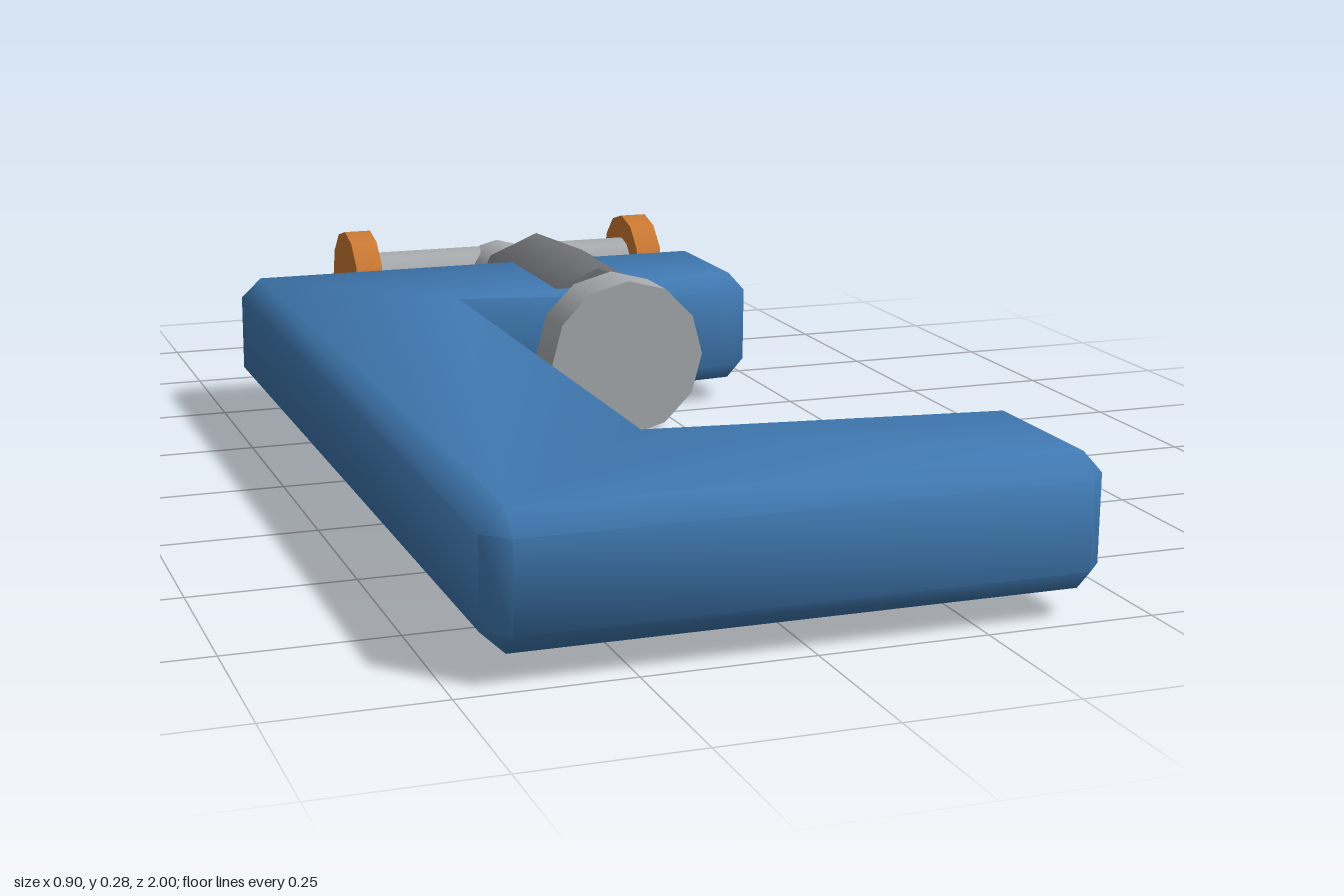
import * as THREE from 'three';
import { toCreasedNormals } from 'three/addons/utils/BufferGeometryUtils.js';

const mat = (name, color) => {
  const m = new THREE.MeshStandardMaterial({ color });
  m.name = name;
  return m;
};

const Y0 = 0.04, Y1 = 0.235, C = 0.033;   // frame bottom, top and bevel
const AXIS_X = 0.135, AXIS_Y = 0.1375;    // screw axis

// Sections of one arm from tip to outer corner; s is the outward z direction.
// Each has plan points: outer side, outer rim, inner side, inner rim, and bevel heights.
function armSections(zo, zi, zTip, s) {
  const zb = zo - s * C;
  const tipIn = zTip + s * C;
  const sec = (o, ot, i, it, co, ci) => [
    [o[0], Y0 + co, o[1]], [o[0], Y1 - co, o[1]],
    [ot[0], ot === o ? Y1 - co : Y1, ot[1]], [it[0], it === i && co === ci ? Y1 - ci : Y1, it[1]],
    [i[0], Y1 - ci, i[1]], [i[0], Y0 + ci, i[1]],
    [it[0], it === i && co === ci ? Y0 + ci : Y0, it[1]], [ot[0], ot === o ? Y0 + co : Y0, ot[1]],
  ];
  const capO = [0.43, zb], capI = [0.43, tipIn], inner = [-0.13, zi], rim = [-0.42, zb];
  return [
    sec(capO, capO, capI, capI, C, C),
    sec([0.40, zo], [0.40, zb], [0.40, zTip], [0.40, tipIn], C, C),
    sec([-0.42, zo], rim, inner, inner, C, 0),
    sec([-0.455, zb], rim, inner, inner, C, 0),
  ];
}

// C-shaped frame lofted through the sections
function frameGeometry() {
  const rings = [
    ...armSections(-0.57, -0.25, -0.28, -1),
    ...armSections(1.0, 0.67, 0.705, 1).reverse(),
  ];
  const pos = [];
  const tri = (...pts) => {
    const [a, b, c] = pts.map((p) => new THREE.Vector3(...p));
    if (b.clone().sub(a).cross(c.clone().sub(a)).length() < 1e-7) return;
    for (const p of pts) pos.push(...p);
  };
  for (let r = 0; r < rings.length - 1; r++) {
    for (let i = 0; i < 8; i++) {
      const j = (i + 1) % 8, a = rings[r], b = rings[r + 1];
      tri(a[i], b[i], a[j]);
      tri(a[j], b[i], b[j]);
    }
  }
  const a = rings[0], b = rings[rings.length - 1];
  tri(a[0], a[1], a[3]);
  tri(a[0], a[3], a[5]);
  tri(b[0], b[3], b[1]);
  tri(b[0], b[5], b[3]);
  const g = new THREE.BufferGeometry();
  g.setAttribute('position', new THREE.Float32BufferAttribute(pos, 3));
  return toCreasedNormals(g, THREE.MathUtils.degToRad(58));
}

export function createModel() {
  const group = new THREE.Group();
  group.name = 'clamp';
  const blue = mat('blue paint', 0x3f78b0);
  const steel = mat('light steel', 0xa8abae);
  const dark = mat('dark steel', 0x6e7074);
  const orange = mat('orange', 0xcc7a33);

  const add = (name, geometry, material) => {
    const m = new THREE.Mesh(geometry, material);
    m.name = name;
    group.add(m);
    return m;
  };
  // Cylinder along z on the screw axis
  const alongZ = (name, r, z0, z1, sides, material) => {
    const g = new THREE.CylinderGeometry(r, r, z1 - z0, sides).rotateX(Math.PI / 2);
    add(name, g, material).position.set(AXIS_X, AXIS_Y, (z0 + z1) / 2);
  };
  // Cylinder along x on the handle axis
  const alongX = (name, r, x0, x1, sides, material) => {
    const g = new THREE.CylinderGeometry(r, r, x1 - x0, sides).rotateZ(Math.PI / 2);
    add(name, g, material).position.set((x0 + x1) / 2, AXIS_Y, -0.895);
  };

  add('frame', frameGeometry(), blue);

  // Screw assembly
  alongZ('collar', 0.13, -0.637, -0.277, 8, dark);
  alongZ('screw', 0.07, -0.9, -0.2, 12, steel);
  alongZ('pressurePad', 0.1375, -0.208, -0.118, 12, steel);

  // Sliding handle
  alongX('handleBar', 0.06, -0.15, 0.42, 12, steel);
  alongX('rightKnob', 0.105, -0.178, -0.127, 12, orange);
  alongX('leftKnob', 0.105, 0.4, 0.45, 12, orange);

  return group;
}
